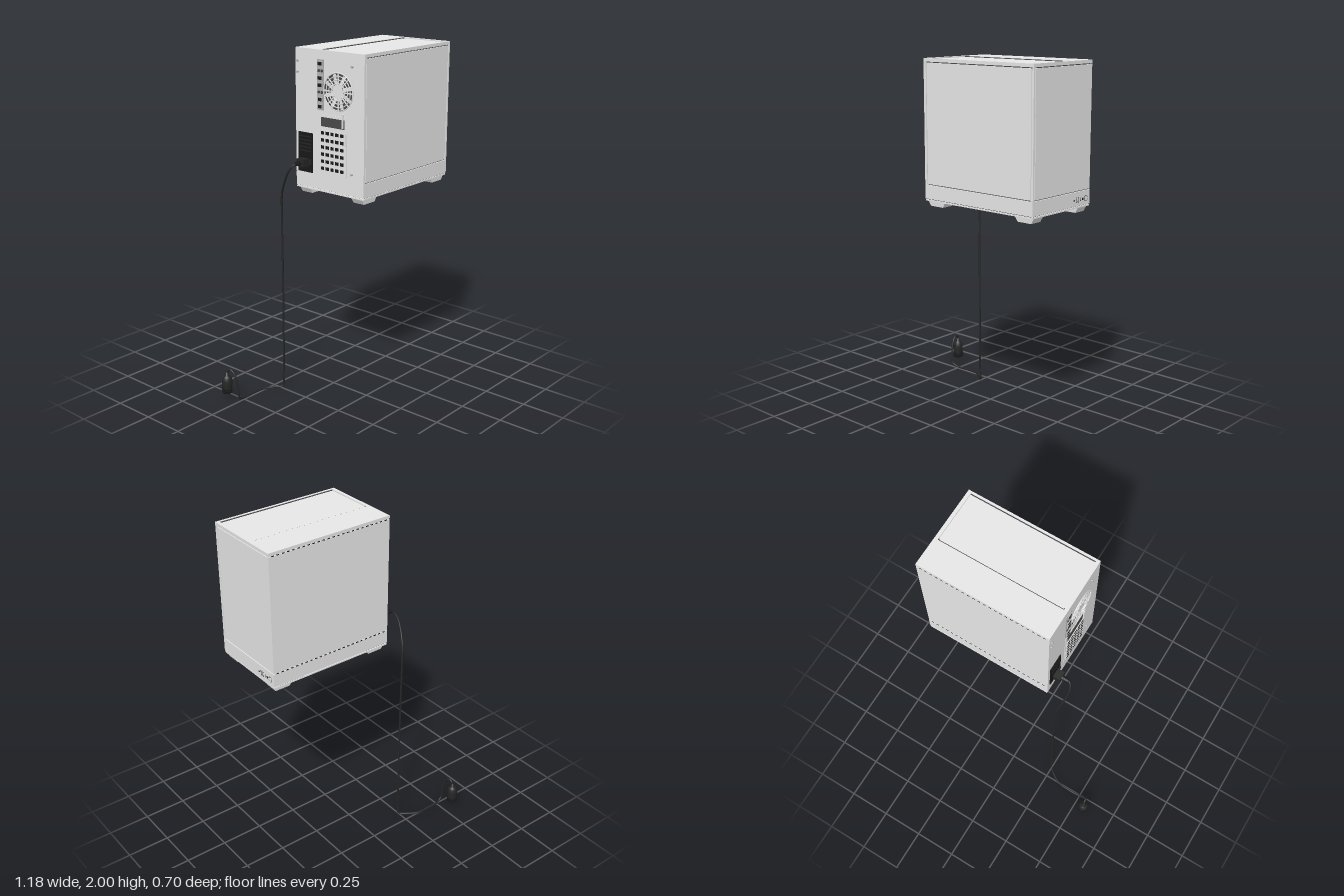
import * as THREE from 'three';

const mat = (name, color) => {
  const m = new THREE.MeshStandardMaterial({ color });
  m.name = name;
  return m;
};

export function createModel() {
  const root = new THREE.Group();
  const shell = mat('shellWhite', 0xebebeb);
  const panel = mat('panelWhite', 0xe7e7e7);
  const seam = mat('seamGrey', 0x4a4a4a);
  const black = mat('black', 0x181818);
  const rubber = mat('rubber', 0x262626);
  const metal = mat('metal', 0xb4b4b4);

  const group = (name, parent = root) => {
    const g = new THREE.Group();
    g.name = name;
    parent.add(g);
    return g;
  };
  const add = (name, geo, m, parent = root) => {
    const mesh = new THREE.Mesh(geo, m);
    mesh.name = name;
    parent.add(mesh);
    return mesh;
  };
  // Box given by its limits on each axis
  const box = (name, m, x0, x1, y0, y1, z0, z1, parent) => {
    const mesh = add(name, new THREE.BoxGeometry(x1 - x0, y1 - y0, z1 - z0), m, parent);
    mesh.position.set((x0 + x1) / 2, (y0 + y1) / 2, (z0 + z1) / 2);
    return mesh;
  };
  // Disc or rod with its axis along x
  const rod = (name, m, r, x0, x1, y, z, parent, sides = 24, r2 = r) => {
    const mesh = add(name, new THREE.CylinderGeometry(r2, r, x1 - x0, sides), m, parent);
    mesh.rotation.z = -Math.PI / 2;
    mesh.position.set((x0 + x1) / 2, y, z);
    return mesh;
  };

  // Case: dark core shows through the seams between the panels
  const pc = group('case');
  box('core', seam, -0.155, 0.582, 1.235, 1.982, -0.125, 0.343, pc);
  box('basePlate', shell, -0.163, 0.588, 1.23, 1.238, -0.13, 0.348, pc);
  box('base', shell, -0.165, 0.59, 1.242, 1.319, -0.13, 0.35, pc);
  box('sidePanel', panel, -0.145, 0.575, 1.324, 1.977, 0.33, 0.349, pc);
  box('frontPanel', panel, 0.57, 0.589, 1.324, 1.977, -0.128, 0.332, pc);
  box('frontPost', shell, 0.579, 0.59, 1.319, 1.982, 0.337, 0.35, pc);
  box('rearPost', shell, -0.165, -0.149, 1.319, 1.982, 0.32, 0.35, pc);
  box('solidSidePanel', shell, -0.165, 0.589, 1.322, 1.979, -0.13, -0.118, pc);
  box('rearPanel', shell, -0.165, -0.15, 1.319, 1.982, -0.12, 0.34, pc);

  // Lid: shallow recessed panel inside a raised rim
  const lid = group('lid', pc);
  box('lidPanel', shell, -0.164, 0.589, 1.982, 1.994, -0.129, 0.349, lid);
  box('lidRear', shell, -0.165, 0.59, 1.982, 2, -0.13, 0.037, lid);
  box('lidEdge', shell, -0.165, 0.59, 1.982, 2, 0.337, 0.35, lid);
  box('lidEnd', shell, -0.165, -0.145, 1.982, 2, 0.037, 0.337, lid);
  box('lidEnd', shell, 0.57, 0.59, 1.982, 2, 0.037, 0.337, lid);
  for (const z of [0.039, 0.335]) {
    box('lidGroove', seam, -0.144, 0.569, 1.993, 1.998, z - 0.0022, z + 0.0022, lid);
    for (const x of [-0.143, 0.568]) {
      box('grooveEnd', seam, x - 0.002, x + 0.002, 1.993, 1.998, z - 0.002, z + 0.007, lid);
    }
  }
  // Clip notches along the solid side
  for (let i = 0; i < 24; i++) {
    const x = -0.145 + i * 0.0305;
    for (const y of [1.316, 1.977]) box('clipNotch', black, x, x + 0.014, y, y + 0.005, -0.1306, -0.129, pc);
  }

  // Tapered feet with rubber pads
  const feet = group('feet');
  for (const x of [-0.095, 0.523]) for (const z of [-0.073, 0.297]) {
    const geo = new THREE.BoxGeometry(0.125, 0.03, 0.076);
    const p = geo.attributes.position;
    for (let i = 0; i < p.count; i++) {
      if (p.getY(i) < 0) p.setXYZ(i, p.getX(i) * 0.72, p.getY(i), p.getZ(i) * 0.94);
    }
    geo.computeVertexNormals();
    add('foot', geo, shell, feet).position.set(x, 1.216, z);
    box('footPad', black, x - 0.042, x + 0.042, 1.2, 1.203, z - 0.033, z + 0.033, feet);
  }

  // Front ports and power button
  const ports = group('frontPorts');
  rod('indicator', black, 0.005, 0.588, 0.5906, 1.275, 0.006, ports, 12);
  for (const z of [-0.014, -0.031]) {
    box('usbPort', seam, 0.588, 0.5906, 1.261, 1.289, z - 0.005, z + 0.005, ports);
    box('usbTongue', shell, 0.588, 0.5909, 1.264, 1.286, z - 0.002, z + 0.002, ports);
  }
  box('smallPort', seam, 0.588, 0.5906, 1.266, 1.284, -0.054, -0.048, ports);
  rod('audioJack', black, 0.007, 0.588, 0.5906, 1.275, -0.07, ports, 16);
  rod('buttonRing', seam, 0.016, 0.588, 0.5906, 1.275, -0.097, ports);
  rod('powerButton', shell, 0.013, 0.588, 0.591, 1.275, -0.097, ports);

  // Rear fan with grille rings and blades
  const fan = group('rearFan');
  fan.position.set(-0.166, 1.79, 0.175);
  fan.rotation.y = -Math.PI / 2;
  add('fanOpening', new THREE.CircleGeometry(0.1, 40), seam, fan);
  for (const r of [0.045, 0.064, 0.083, 0.1]) {
    add('grilleRing', new THREE.TorusGeometry(r, 0.003, 6, 40), shell, fan).position.z = 0.002;
  }
  add('fanHub', new THREE.CircleGeometry(0.035, 28), shell, fan).position.z = 0.0035;
  for (let i = 0; i < 8; i++) {
    const spoke = group('spoke', fan);
    spoke.rotation.z = (i * Math.PI) / 4;
    box('grilleSpoke', shell, 0.025, 0.1, -0.003, 0.003, 0, 0.004, spoke);
    const blade = box('fanBlade', shell, 0.03, 0.092, 0.01, 0.03, 0, 0.0015, spoke);
    blade.rotation.z = 0.25;
  }

  // Rear connector plate
  const io = group('connectorPlate');
  box('plate', metal, -0.168, -0.16, 1.68, 1.95, 0.028, 0.074, io);
  for (let i = 0; i < 7; i++) {
    const y = 1.7 + i * 0.038;
    if (i % 3 === 2) {
      for (const z of [0.041, 0.062]) rod('roundPort', seam, 0.008, -0.172, -0.165, y, z, io, 14);
    } else {
      box('portShell', metal, -0.174, -0.165, y - 0.013, y + 0.013, 0.034, 0.068, io);
      box('portOpening', black, -0.1745, -0.17, y - 0.009, y + 0.009, 0.038, 0.064, io);
    }
  }

  // Expansion slot covers with vent holes
  const slots = group('expansionSlots');
  box('slotFrame', shell, -0.168, -0.16, 1.335, 1.66, 0.035, 0.235, slots);
  box('slotRecess', seam, -0.1695, -0.165, 1.595, 1.645, 0.055, 0.22, slots);
  box('slotBracket', shell, -0.176, -0.165, 1.6, 1.675, 0.205, 0.213, slots);
  for (let i = 0; i < 6; i++) {
    const y = 1.365 + i * 0.039;
    box('slotCover', shell, -0.171, -0.165, y - 0.016, y + 0.016, 0.045, 0.225, slots);
    for (let k = 0; k < 5; k++) {
      const z = 0.056 + k * 0.034;
      box('ventHole', black, -0.1715, -0.17, y - 0.009, y + 0.009, z, z + 0.023, slots);
    }
  }

  // Power supply and thumb screws
  const psu = group('powerSupply');
  box('supplyPlate', black, -0.17, -0.16, 1.325, 1.545, -0.11, -0.008, psu);
  for (let i = 0; i < 5; i++) {
    const y = 1.44 + i * 0.02;
    box('supplyVent', rubber, -0.1706, -0.168, y, y + 0.007, -0.1, -0.018, psu);
  }
  box('supplySwitch', rubber, -0.176, -0.168, 1.37, 1.4, -0.028, -0.014, psu);
  for (const [y, z] of [[1.93, -0.112], [1.87, -0.112], [1.36, 0.27], [1.93, 0.27]]) {
    rod('thumbScrew', metal, 0.006, -0.175, -0.16, y, z, pc, 14);
  }

  // Power cord: connector, ribbed relief, cable and plug
  const cord = group('powerCord');
  box('connector', rubber, -0.212, -0.168, 1.36, 1.402, -0.086, -0.034, cord);
  rod('relief', rubber, 0.009, -0.25, -0.21, 1.381, -0.06, cord, 14, 0.013);
  for (let i = 0; i < 4; i++) {
    const x = -0.22 - i * 0.009;
    rod('reliefRib', black, 0.014 - i * 0.0014, x - 0.004, x, 1.381, -0.06, cord, 14);
  }
  const path = [
    [-0.225, 1.381, -0.06], [-0.258, 1.378, -0.062], [-0.275, 1.345, -0.085], [-0.272, 1.28, -0.12],
    [-0.254, 1.2, -0.16], [-0.243, 1.1, -0.174], [-0.241, 0.8, -0.175], [-0.241, 0.4, -0.176],
    [-0.243, 0.09, -0.18], [-0.246, 0.016, -0.186], [-0.285, 0.012, -0.218], [-0.34, 0.012, -0.25],
    [-0.42, 0.012, -0.259], [-0.5, 0.012, -0.255], [-0.538, 0.03, -0.248], [-0.547, 0.1, -0.25],
    [-0.553, 0.17, -0.268], [-0.558, 0.195, -0.294], [-0.561, 0.187, -0.314], [-0.563, 0.15, -0.322],
  ].map((p) => new THREE.Vector3(...p));
  add('cable', new THREE.TubeGeometry(new THREE.CatmullRomCurve3(path, false, 'centripetal'), 200, 0.0058, 10), rubber, cord);

  const profile = [
    [0, 0.052], [0.028, 0.05], [0.028, 0.085], [0.027, 0.087], [0.027, 0.092], [0.03, 0.094],
    [0.03, 0.122], [0.027, 0.14], [0.021, 0.15], [0.012, 0.155], [0.008, 0.175], [0, 0.177],
  ].map((p) => new THREE.Vector2(...p));
  add('plug', new THREE.LatheGeometry(profile, 28), rubber, cord).position.set(-0.563, 0, -0.322);
  for (let i = 0; i < 10; i++) {
    const a = (i / 10) * Math.PI * 2;
    const rib = add('gripRib', new THREE.BoxGeometry(0.004, 0.026, 0.004), black, cord);
    rib.position.set(-0.563 + Math.sin(a) * 0.028, 0.069, -0.322 + Math.cos(a) * 0.028);
    rib.rotation.y = a;
  }
  return root;
}
